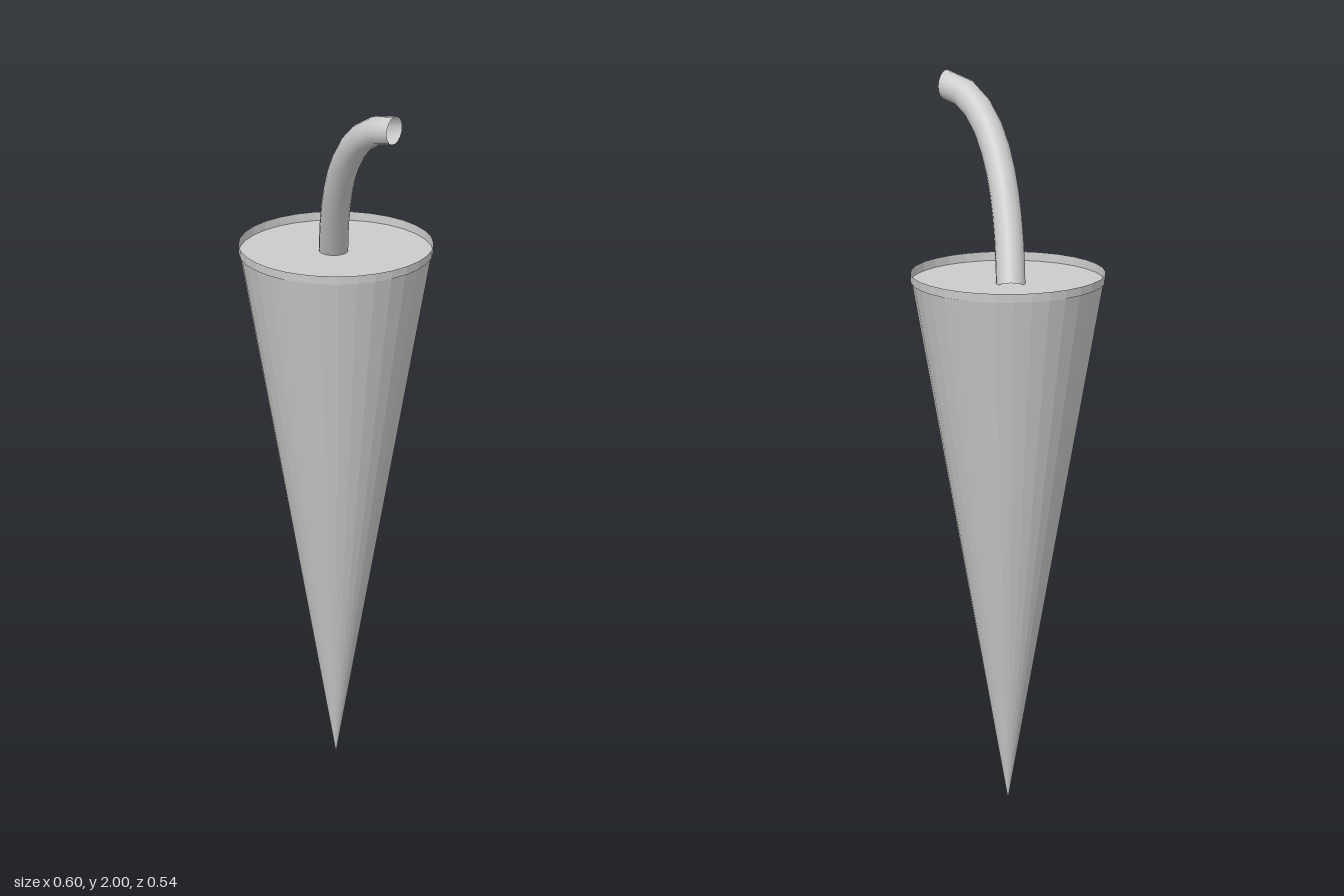
import * as THREE from 'three';

export function createModel() {
  const model = new THREE.Group();
  const faceted = new THREE.MeshStandardMaterial({ color: 0xcccccc, flatShading: true, side: THREE.DoubleSide });
  const smooth = new THREE.MeshStandardMaterial({ color: 0xcccccc, side: THREE.DoubleSide });
  const centreX = -0.027, sides = 32, lidY = 1.475;

  const add = (name, geometry, material, x = 0, y = 0) => {
    const mesh = new THREE.Mesh(geometry, material);
    mesh.name = name;
    mesh.position.set(x, y, 0);
    model.add(mesh);
  };

  // Pointed cup: open cone, tip down
  const cone = new THREE.ConeGeometry(0.268, lidY, sides, 1, true).rotateX(Math.PI);
  add('cone', cone, faceted, centreX, lidY / 2);

  // Flat lid recessed inside a thin raised rim
  add('lid', new THREE.CircleGeometry(0.271, sides).rotateX(-Math.PI / 2), faceted, centreX, lidY);
  add('rim', new THREE.CylinderGeometry(0.272, 0.271, 0.025, sides, 1, true), faceted, centreX, lidY + 0.0125);

  // Bent hollow straw rising from the lid, its mouth cut square to x
  const path = new THREE.QuadraticBezierCurve3(
    new THREE.Vector3(-0.046, 1.465, -0.017),
    new THREE.Vector3(0.09, 1.95, 0.197),
    new THREE.Vector3(0.3, 1.96, 0.212)
  );
  const rows = 10, around = 16;
  const straw = new THREE.TubeGeometry(path, rows, 0.041, around, false);
  const pos = straw.attributes.position;
  for (let i = rows * (around + 1); i < pos.count; i++) pos.setX(i, 0.3);
  add('straw', straw, smooth);

  return model;
}
